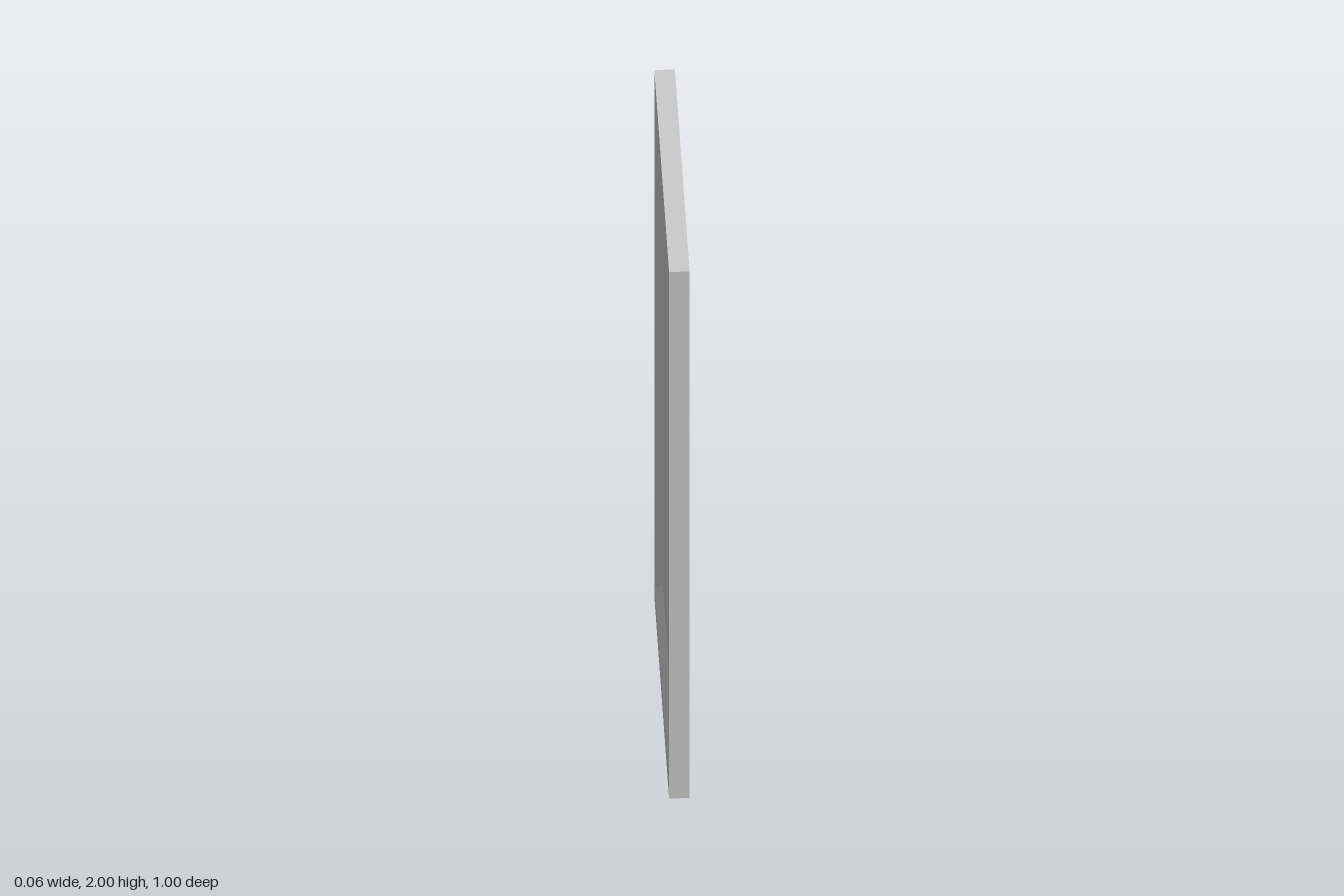
import * as THREE from 'three';

const HALF_T = 0.031; // half thickness
const RECESS = 0.022; // depth of the recessed panel

// Rectangular section in the plane x, centred on the middle of the board
function section(x, halfZ, halfY) {
  return [[1, 1], [-1, 1], [-1, -1], [1, -1]].map(
    ([z, y]) => new THREE.Vector3(x, 1 + y * halfY, z * halfZ));
}

// Flat-faced geometry from four-cornered faces
function quads(faces) {
  const points = faces.flatMap(([a, b, c, d]) => [a, b, c, a, c, d]);
  const geometry = new THREE.BufferGeometry().setFromPoints(points);
  geometry.computeVertexNormals();
  return geometry;
}

// Band of four faces joining two sections
function band(s, t) {
  return s.map((p, i) => [p, s[(i + 1) % 4], t[(i + 1) % 4], t[i]]);
}

export function createModel() {
  const group = new THREE.Group();
  const material = new THREE.MeshStandardMaterial({ color: 0xcccccc, flatShading: true });
  const add = (name, faces) => {
    const mesh = new THREE.Mesh(quads(faces), material);
    mesh.name = name;
    group.add(mesh);
  };

  const plainSide = section(HALF_T, 0.5, 1);
  const rim = section(-HALF_T, 0.5, 1);
  const opening = section(-HALF_T, 0.457, 0.936);
  const floor = section(-HALF_T + RECESS, 0.43, 0.897);

  // Plain side, outer edges and flat border
  add('frame', [[...plainSide].reverse(), ...band(plainSide, rim), ...band(rim, opening)]);
  // Sloping moulding around the recess
  add('bevel', band(opening, floor));
  // Recessed panel
  add('panel', [floor]);

  return group;
}
